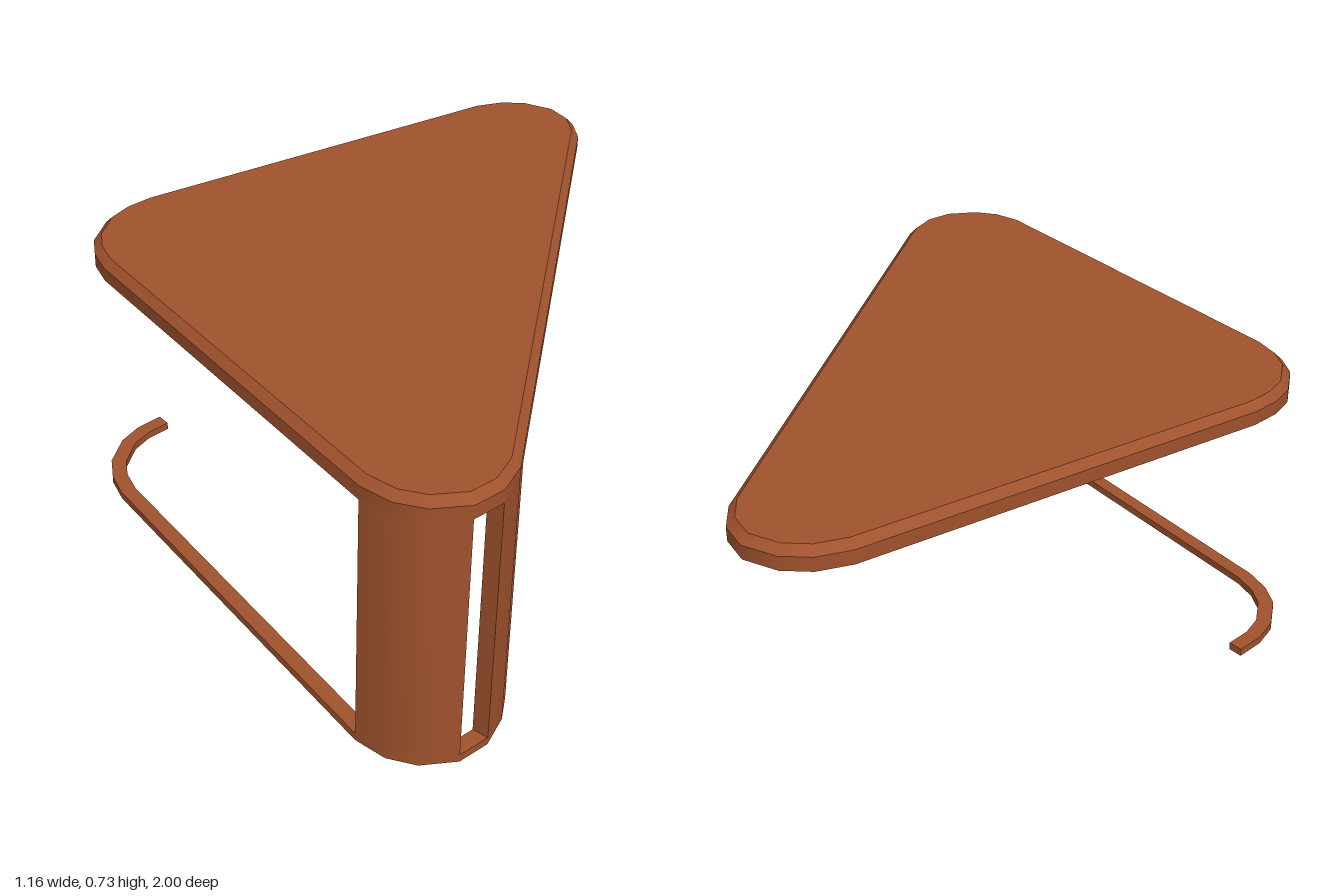
import * as THREE from 'three';
import { toCreasedNormals } from 'three/addons/utils/BufferGeometryUtils.js';

// Rounded-triangle outline as [x, z], anticlockwise seen from above
const frontCorner = [[0.265, 0.95], [0.34, 0.992], [0.415, 1], [0.503, 0.97], [0.557, 0.905], [0.58, 0.82]];
const backCorner = frontCorner.map(([x, z]) => [x, -z]).reverse();
const tip = [[-0.51, -0.185], [-0.555, -0.12], [-0.58, -0.05], [-0.58, 0.05], [-0.555, 0.12], [-0.51, 0.185]];
const outline = [...frontCorner, ...backCorner, ...tip];

// Moves a closed outline inward by a fixed distance
function inset(points, distance) {
  const n = points.length;
  const normal = (a, b) => new THREE.Vector2(b[1] - a[1], a[0] - b[0]).normalize();
  return points.map((p, i) => {
    const n1 = normal(points[(i + n - 1) % n], p);
    const n2 = normal(p, points[(i + 1) % n]);
    const miter = n1.clone().add(n2).multiplyScalar(distance / (1 + n1.dot(n2)));
    return [p[0] + miter.x, p[1] + miter.y];
  });
}

// Upright prism over a floor plan, from y0 to y1
function prism(points, y0, y1) {
  const shape = new THREE.Shape(points.map(([x, z]) => new THREE.Vector2(x, z)));
  const geometry = new THREE.ExtrudeGeometry(shape, { depth: y1 - y0, bevelEnabled: false });
  geometry.rotateX(Math.PI / 2).translate(0, y1, 0);
  return toCreasedNormals(geometry, 0.6);
}

// Convex solid through stacked loops, closed at both ends
function loft(loops) {
  const n = loops[0].points.length;
  const vertices = loops.flatMap(({ points, y }) => points.flatMap(([x, z]) => [x, y, z]));
  const index = [];
  for (let k = 0; k < loops.length - 1; k++) {
    for (let i = 0; i < n; i++) {
      const a = k * n + i, b = k * n + (i + 1) % n;
      index.push(a, b, b + n, a, b + n, a + n);
    }
  }
  const top = (loops.length - 1) * n;
  for (let i = 1; i < n - 1; i++) {
    index.push(0, i + 1, i);
    index.push(top, top + i, top + i + 1);
  }
  const geometry = new THREE.BufferGeometry();
  geometry.setAttribute('position', new THREE.Float32BufferAttribute(vertices, 3));
  geometry.setIndex(index);
  return toCreasedNormals(geometry, 0.6);
}

export function createModel() {
  const group = new THREE.Group();
  const wood = new THREE.MeshStandardMaterial({ color: 0xa0522d });
  wood.name = 'brown wood';

  const add = (name, geometry) => {
    const mesh = new THREE.Mesh(geometry, wood);
    mesh.name = name;
    group.add(mesh);
  };

  const thickness = 0.04;
  const inner = inset(outline, thickness);
  const floorTop = 0.02, plateBottom = 0.67;
  const pick = (points, indices) => indices.map((i) => points[i]);

  // Table top with a chamfered upper edge
  add('tableTop', loft([
    { points: outline, y: plateBottom },
    { points: outline, y: 0.705 },
    { points: inset(outline, 0.02), y: 0.725 },
  ]));

  // Thin foot strip: round the tip, along the front edge, round the front corner
  const path = [12, 13, 14, 15, 16, 17, 0, 1, 2, 3, 4, 5];
  const end = [[0.58, 0.75], [0.58 - thickness, 0.75]];
  add('footStrip', prism(
    [...pick(outline, path), ...end, ...pick(inner, path).reverse()], 0, floorTop));

  // Curved main leg and narrow post, with an open slot between them
  add('mainLeg', prism(
    [...pick(outline, [0, 1, 2, 3]), ...pick(inner, [3, 2, 1, 0]), [0.257, 0.885]], 0, plateBottom));
  add('sidePost', prism(
    [...pick(outline, [4, 5]), ...end, ...pick(inner, [5, 4])], 0, plateBottom));

  return group;
}
